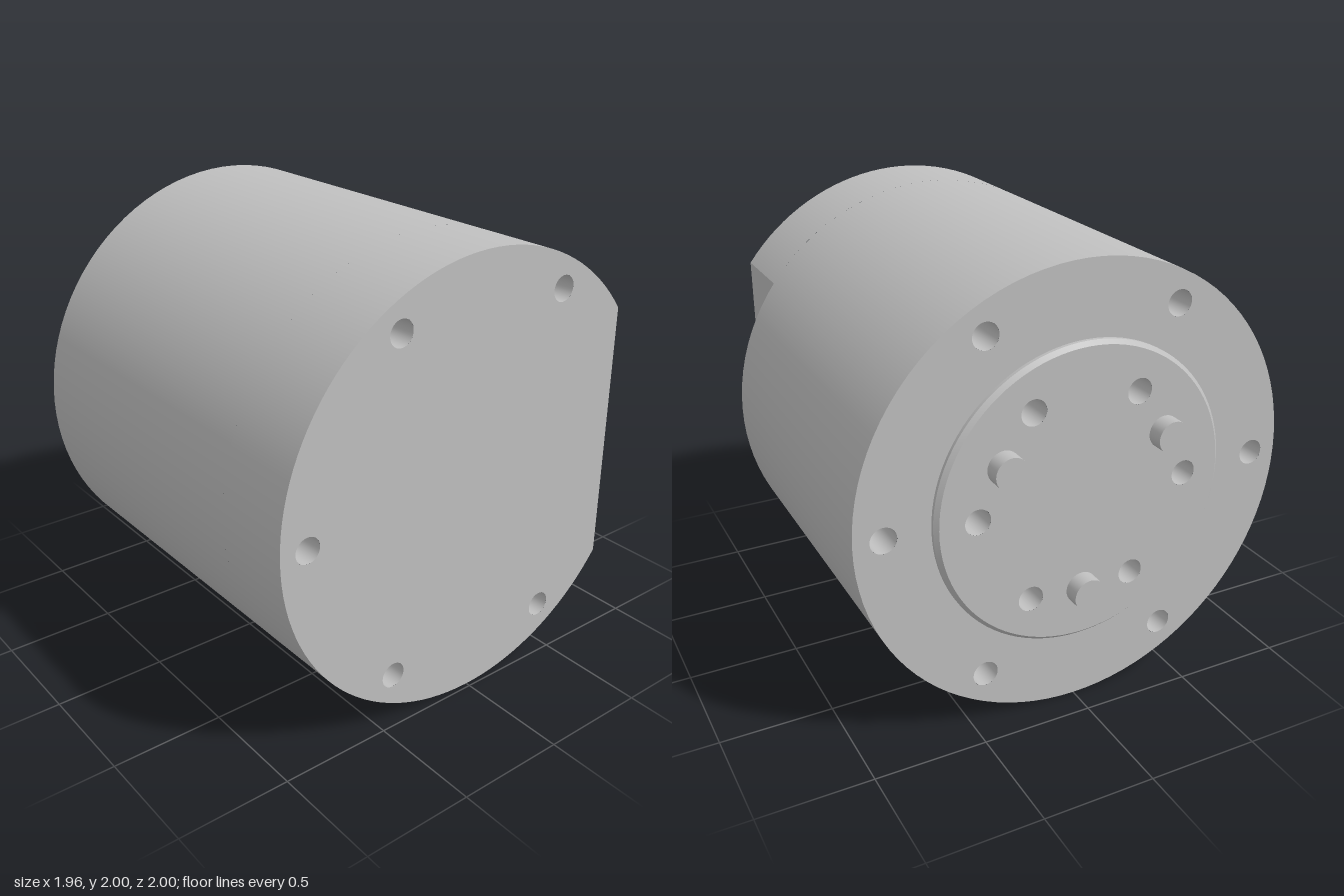
import * as THREE from 'three';
import { toCreasedNormals } from 'three/addons/utils/BufferGeometryUtils.js';

const HOLE_R = 0.057, HOLE_DEPTH = 0.2;
const RIM_R = 0.873, PLATE_HOLE_R = 0.487, PIN_R = 0.433;
const BACK = -0.872, STEP = 0.6, FRONT = 0.98;   // stations along the axis
const FLAT = 0.8, FLAT_ANGLE = Math.acos(FLAT);  // milled flat
const PLATE_R = 0.673, PLATE_H = 0.034, CHAMFER = 0.018;

export function createModel() {
  const metal = new THREE.MeshStandardMaterial({ color: 0xbfbfbf });
  metal.name = 'greyMetal';

  const add = (parent, name, geometry, x = 0, y = 0, z = 0) => {
    const mesh = new THREE.Mesh(geometry, metal);
    mesh.name = name;
    mesh.position.set(x, y, z);
    parent.add(mesh);
    return mesh;
  };

  // Points on a circle, angles in degrees
  const ring = (radius, degrees) => degrees.map((d) => {
    const a = THREE.MathUtils.degToRad(d);
    return [radius * Math.cos(a), radius * Math.sin(a)];
  });

  // Turned surface around z, sharp at its corners
  const turned = (profile, segments) => toCreasedNormals(
    new THREE.LatheGeometry(profile.map(([r, h]) => new THREE.Vector2(r, h)), segments).rotateX(Math.PI / 2), 0.5);

  // Flat face bounded by an arc, pierced by round openings [x, y, radius]
  const face = (radius, from, to, openings = []) => {
    const shape = new THREE.Shape().absarc(0, 0, radius, from, to, false);
    for (const [x, y, r] of openings) {
      shape.holes.push(new THREE.Path().absarc(x, y, r, 0, Math.PI * 2, true));
    }
    return new THREE.ShapeGeometry(shape, 48);
  };

  // Curved wall around z between two stations
  const wall = (z0, z1, from, sweep) => new THREE.CylinderGeometry(
    1, 1, z1 - z0, 96, 1, true, from + Math.PI / 2, sweep)
    .rotateX(Math.PI / 2).translate(0, 0, (z0 + z1) / 2);

  const boltHole = turned([[HOLE_R, 0], [HOLE_R, -HOLE_DEPTH], [0, -HOLE_DEPTH]], 32);
  const openings = (points) => points.map(([x, y]) => [x, y, HOLE_R]);
  const drill = (parent, name, points, z) =>
    points.forEach(([x, y]) => add(parent, name, boltHole, x, y, z));

  // Built along z, then turned so the axis lies on x
  const motor = new THREE.Group();
  motor.name = 'cylindricalHousing';
  motor.rotation.y = Math.PI / 2;
  motor.position.y = 1;

  // Housing walls and the milled flat
  const full = Math.PI * 2;
  add(motor, 'housingWall', wall(BACK, STEP, 0, full));
  add(motor, 'flattenedWall', wall(STEP, FRONT, FLAT_ANGLE, full - 2 * FLAT_ANGLE));
  add(motor, 'stepFace', face(1, -FLAT_ANGLE, FLAT_ANGLE), 0, 0, STEP);
  add(motor, 'milledFlat',
    new THREE.PlaneGeometry(FRONT - STEP, 2 * Math.sin(FLAT_ANGLE)).rotateY(Math.PI / 2),
    FLAT, 0, (STEP + FRONT) / 2);

  // Plain end with five bolt holes
  const plainHoles = ring(RIM_R, [60, 120, 180, 240, 300]);
  add(motor, 'plainEndFace', face(1, FLAT_ANGLE, full - FLAT_ANGLE, openings(plainHoles)), 0, 0, FRONT);
  drill(motor, 'plainEndHole', plainHoles, FRONT);

  // Output end, facing the other way
  const output = new THREE.Group();
  output.name = 'outputEnd';
  output.rotation.y = Math.PI;
  output.position.z = BACK;
  motor.add(output);

  const six = [0, 60, 120, 180, 240, 300];
  const rimHoles = ring(RIM_R, six);
  add(output, 'rimFace', face(1, 0, full, [...openings(rimHoles), [0, 0, PLATE_R]]));
  drill(output, 'rimHole', rimHoles, 0);

  // Chamfered plate with its own bolt circle
  const plateHoles = ring(PLATE_HOLE_R, six);
  add(output, 'plateEdge', turned(
    [[PLATE_R, 0], [PLATE_R, PLATE_H - CHAMFER], [PLATE_R - CHAMFER, PLATE_H]], 96));
  add(output, 'plateFace', face(PLATE_R - CHAMFER, 0, full, openings(plateHoles)), 0, 0, PLATE_H);
  drill(output, 'plateHole', plateHoles, PLATE_H);

  // Three drive pins
  const pin = turned([[0.072, 0], [0.072, 0.074], [0, 0.074]], 32);
  ring(PIN_R, [30, 150, 270]).forEach(([x, y]) => add(output, 'drivePin', pin, x, y, PLATE_H));

  const model = new THREE.Group();
  model.name = 'actuator';
  model.add(motor);
  return model;
}
